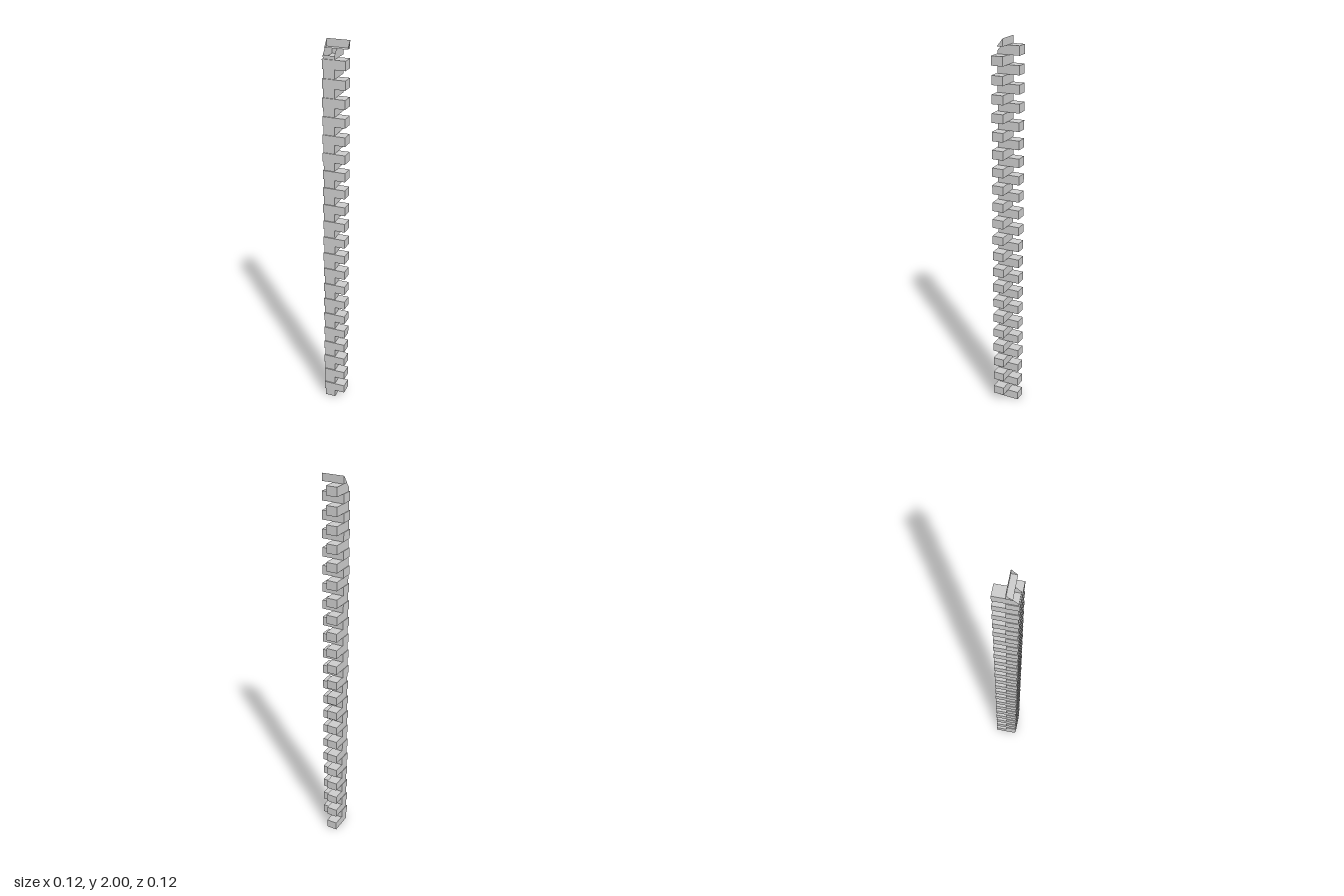
import * as THREE from 'three';
import { mergeGeometries } from 'three/addons/utils/BufferGeometryUtils.js';

const material = new THREE.MeshStandardMaterial({ color: 0xcccccc, flatShading: true, side: THREE.DoubleSide });

const H = 2 / 43.82; // height of one course
const COURSES = 43;
const LONG_X = { x0: -0.058, x1: 0.058, z0: 0, z1: 0.06 }; // block lying along x
const LONG_Z = { x0: -0.055, x1: 0.002, z0: -0.06, z1: 0.055 }; // block lying along z

function addBlock(group, name, b, y, h) {
  const mesh = new THREE.Mesh(new THREE.BoxGeometry(b.x1 - b.x0, h, b.z1 - b.z0), material);
  mesh.position.set((b.x0 + b.x1) / 2, y + h / 2, (b.z0 + b.z1) / 2);
  mesh.name = name;
  group.add(mesh);
}

// Hollow block with one side left open: a [z, y] profile swept along x, with both end walls
function addCutBlock(group, name, b, profile) {
  const parts = [];
  for (let i = 0; i < profile.length - 1; i++) {
    const [za, ya] = profile[i], [zb, yb] = profile[i + 1];
    const wall = new THREE.PlaneGeometry(b.x1 - b.x0, Math.hypot(zb - za, yb - ya));
    wall.rotateX(Math.atan2(zb - za, yb - ya));
    wall.translate((b.x0 + b.x1) / 2, (ya + yb) / 2, (za + zb) / 2);
    parts.push(wall);
  }
  const shape = new THREE.Shape(profile.map(([z, y]) => new THREE.Vector2(-z, y)));
  for (const x of [b.x0, b.x1]) {
    const end = new THREE.ShapeGeometry(shape);
    end.rotateY(Math.PI / 2);
    end.translate(x, 0, 0);
    parts.push(end);
  }
  const mesh = new THREE.Mesh(mergeGeometries(parts), material);
  mesh.name = name;
  group.add(mesh);
}

export function createModel() {
  const model = new THREE.Group();
  model.name = 'cornerQuoins';

  // Alternating courses, interlocking at the corner
  for (let i = 0; i < COURSES - 1; i++) {
    const alongX = i % 2 === 1;
    addBlock(model, alongX ? 'sideBlock' : 'backBlock', alongX ? LONG_X : LONG_Z, i * H, H);
  }

  // Top two blocks, sliced open by the roof slope
  const base = (COURSES - 1) * H, top = COURSES * H, cutZ = 0.03;
  addCutBlock(model, 'slicedBackBlock', LONG_Z, [
    [cutZ, top], [LONG_Z.z0, top], [LONG_Z.z0, base], [LONG_Z.z1, base], [LONG_Z.z1, 1.934],
  ]);
  addCutBlock(model, 'slicedSideBlock', LONG_X, [[LONG_X.z0, 2], [LONG_X.z0, top], [cutZ, top]]);

  return model;
}
